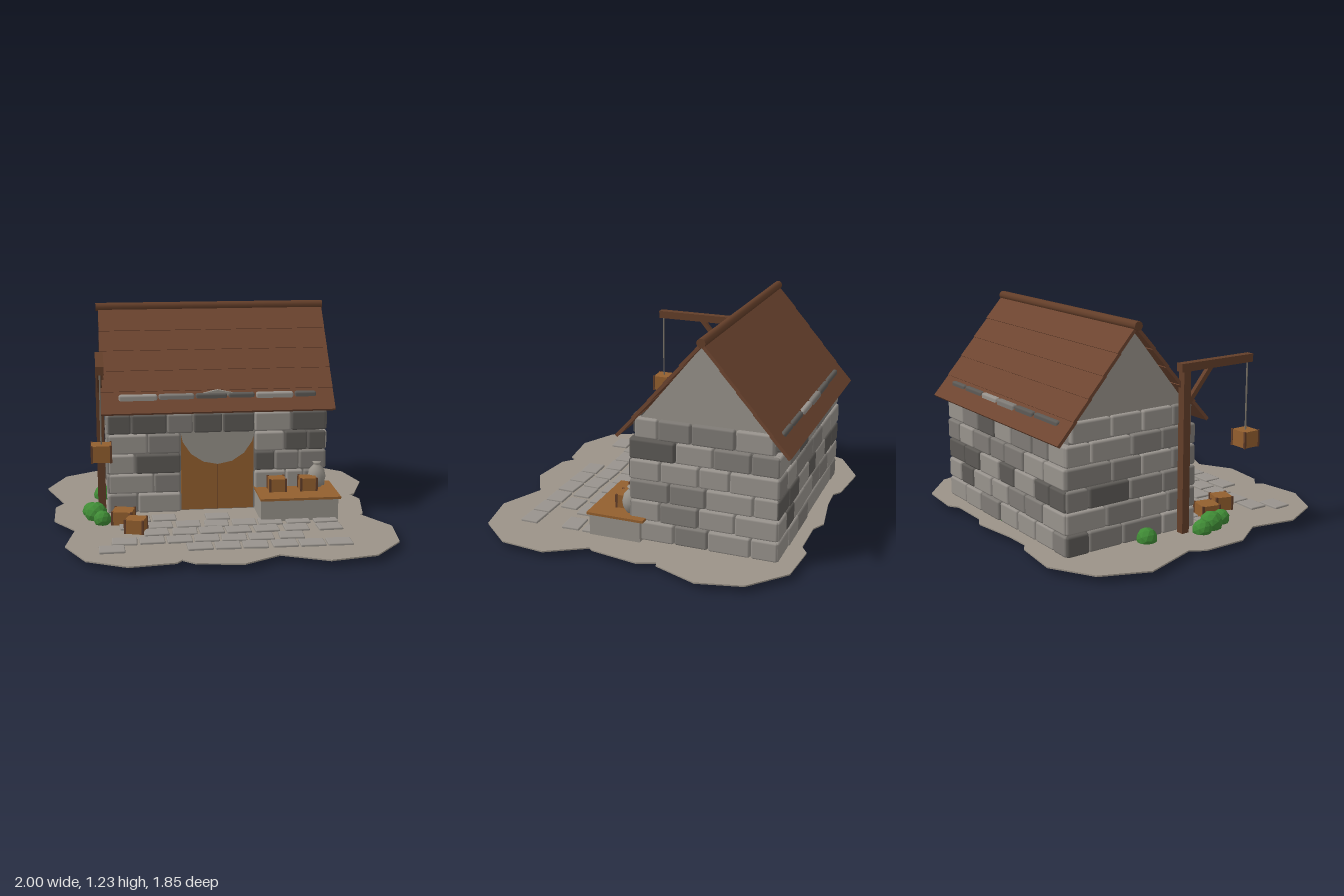
import * as THREE from 'three';
import { RoundedBoxGeometry } from 'three/addons/geometries/RoundedBoxGeometry.js';

const mat = (name, color, flatShading = false) => {
  const m = new THREE.MeshStandardMaterial({ color, flatShading });
  m.name = name;
  return m;
};

export function createModel() {
  const M = {
    ground: mat('ground', 0x9b9388),
    plaster: mat('plaster', 0x97928a),
    light: mat('lightStone', 0x98938d),
    mid: mat('midStone', 0x7f7b76),
    dark: mat('darkStone', 0x5d5a56),
    roof: mat('roofWood', 0x6e4530),
    beam: mat('darkWood', 0x633e29),
    wood: mat('lightWood', 0x935f2e),
    leaf: mat('leaf', 0x3f8a35, true),
    rope: mat('rope', 0x7a7368),
  };
  const root = new THREE.Group();
  root.name = 'stoneShop';
  const group = (name) => {
    const g = new THREE.Group();
    g.name = name;
    root.add(g);
    return g;
  };
  const add = (name, geo, m, x, y, z, parent = root) => {
    const mesh = new THREE.Mesh(geo, m);
    mesh.name = name;
    mesh.position.set(x, y, z);
    parent.add(mesh);
    return mesh;
  };
  const box = (name, m, w, h, d, x, y, z, parent) =>
    add(name, new THREE.BoxGeometry(w, h, d), m, x, y, z, parent);
  let seed = 17;
  const rnd = () => (seed = (seed * 16807) % 2147483647) / 2147483647;
  const stoneMat = () => {
    const r = rnd();
    return r < 0.42 ? M.light : r < 0.74 ? M.mid : M.dark;
  };

  // Irregular ground slab, outlined as x, z pairs
  const outline = [
    [-1, -.53], [-.89, -.79], [-.65, -.93], [-.37, -.9], [-.32, -.865], [-.17, -.87], [.1, -.91],
    [.18, -.87], [.42, -.87], [.48, -.91], [.74, -.89], [.94, -.71], [1, -.46], [.9, -.21],
    [.87, -.2], [.91, -.1], [.86, .18], [.84, .2], [.97, .42], [.94, .68], [.77, .87], [.51, .92],
    [.26, .81], [.06, .92], [-.19, .89], [-.26, .83], [-.29, .87], [-.54, .9], [-.76, .79],
    [-.87, .56], [-.82, .3], [-.94, .12], [-.94, -.13], [-.89, -.21],
  ];
  const groundShape = new THREE.Shape(outline.map(([x, z]) => new THREE.Vector2(x, -z)));
  const groundGeo = new THREE.ExtrudeGeometry(groundShape, { depth: 0.008, bevelEnabled: false });
  groundGeo.rotateX(-Math.PI / 2);
  add('ground', groundGeo, M.ground, 0, 0.035, 0);

  // Paving slabs in front of the door
  const paving = group('paving');
  const rows = [
    [.155, [-.61, -.46, -.31, 0]],
    [.28, [-.5, -.34, -.18, -.02, .14, .29, .45, .61]],
    [.4, [-.37, -.21, -.06, .09, .25, .42, .61]],
    [.53, [-.55, -.4, -.25, -.1, .05, .2, .37]],
    [.655, [-.62, -.15, 0, .15, .31, .46, .61]],
  ];
  for (const [z, xs] of rows) {
    for (const x of xs) {
      const geo = new RoundedBoxGeometry(0.138, 0.018, 0.105, 1, 0.006);
      add('slab', geo, M.light, x, 0.046, z + (rnd() - .5) * .01, paving).rotation.y = (rnd() - .5) * .12;
    }
  }

  // Wall core and gables
  box('wallCore', M.mid, 1.23, 0.69, 0.765, 0.015, 0.378, -0.38);
  const gable = new THREE.Shape([[-.765, .72], [.005, .72], [-.38, 1.195]].map((p) => new THREE.Vector2(...p)));
  const gableGeo = new THREE.ExtrudeGeometry(gable, { depth: 1.24, bevelEnabled: false });
  gableGeo.rotateY(-Math.PI / 2);
  add('gables', gableGeo, M.plaster, 0.635, 0, 0);

  // Courses of stones: place(centre, y, length, height) sets each one on its wall
  const rowH = 0.119;
  const course = (from, to, row, size, place) => {
    const n = Math.max(1, Math.round((to - from) / size));
    const cuts = [from];
    const shift = row % 2 ? 0.2 : -0.2;
    for (let i = 1; i < n; i++) cuts.push(from + (to - from) * (i + shift + (rnd() - .5) * .3) / n);
    cuts.push(to);
    for (let i = 0; i < n; i++) {
      place((cuts[i] + cuts[i + 1]) / 2, 0.043 + rowH * (row + .5),
        cuts[i + 1] - cuts[i] - 0.006, rowH - 0.006);
    }
  };
  const walls = group('stoneWalls');
  const depth = 0.052;
  const onZ = (z) => (x, y, w, h) => add('wallStone',
    new RoundedBoxGeometry(w, h, depth, 1, 0.012), stoneMat(), x, y, z + (rnd() - .5) * .008, walls);
  const onX = (x) => (z, y, w, h) => add('wallStone',
    new RoundedBoxGeometry(depth, h, w, 1, 0.012), stoneMat(), x + (rnd() - .5) * .008, y, z, walls);
  for (let r = 0; r < 6; r++) {
    const top = r === 5;
    const [x0, x1] = top ? [-.56, .6] : [-.625, .66];
    const [z0, z1] = top ? [-.765, .01] : [-.8, .04];
    if (r < 4) {
      course(x0, -.2, r, .17, onZ(.018));
      course(.235, x1, r, .17, onZ(.018));
    } else course(x0, x1, r, .19, onZ(.018));
    course(x0, x1, r, .18, onZ(-.778));
    course(z0, z1, r, .21, onX(-.606));
    course(z0, z1, r, .21, onX(.636));
  }

  // Double door with a round stone over it
  const door = group('door');
  for (const s of [-1, 1]) box('doorLeaf', M.wood, 0.212, 0.5, 0.03, 0.017 + s * 0.108, 0.3, 0, door);
  box('doorGap', M.beam, 0.006, 0.5, 0.024, 0.017, 0.3, 0, door);
  const disc = new THREE.CylinderGeometry(0.222, 0.222, 0.05, 16);
  disc.rotateX(Math.PI / 2);
  add('doorArch', disc, M.plaster, 0.017, 0.55, 0.005, door);

  // Roof boards on both slopes and the ridge pole
  const roof = group('roof');
  const pitch = Math.atan2(0.55, 0.47), slope = 0.725;
  const seams = [0, .23, .42, .61, .8, 1];
  for (const s of [-1, 1]) {
    for (let i = 0; i < 5; i++) {
      const d = slope * (seams[i] + seams[i + 1]) / 2;
      const len = slope * (seams[i + 1] - seams[i]) + 0.012;
      const board = box('roofBoard', M.roof, 1.36, 0.018, len, 0.02,
        1.208 - d * Math.sin(pitch), -0.382 + s * d * Math.cos(pitch), roof);
      board.rotation.x = s * (pitch - 0.03);
    }
  }
  const ridge = new THREE.CylinderGeometry(0.025, 0.025, 1.38, 10);
  ridge.rotateZ(Math.PI / 2);
  add('ridgePole', ridge, M.beam, 0.015, 1.212, -0.382, roof);

  // Crate with a dark underside frame
  const crate = (x, y, z, w, h, turn, parent) => {
    const g = new THREE.Group();
    g.name = 'crate';
    g.position.set(x, y, z);
    g.rotation.y = turn;
    parent.add(g);
    box('crateBody', M.wood, w, h, w * 0.94, 0, h / 2, 0, g);
    for (const a of [-1, 1]) {
      for (const b of [-1, 1]) {
        box('crateCorner', M.beam, 0.012, h + 0.004, 0.012, a * w * .48, h / 2, b * w * .45, g);
      }
    }
  };

  // Hoist: post, arm, brace, rope and load
  const hoist = group('hoist');
  const hx = -0.663;
  box('post', M.beam, 0.046, 0.92, 0.046, hx, 0.49, -0.07, hoist);
  box('arm', M.beam, 0.046, 0.045, 0.495, hx, 0.963, 0.142, hoist);
  const brace = box('brace', M.beam, 0.026, 0.24, 0.026, hx, 0.86, 0.03, hoist);
  brace.rotation.x = 0.7;
  add('rope', new THREE.CylinderGeometry(0.005, 0.005, 0.4, 6), M.rope, hx, 0.75, 0.368, hoist);
  crate(hx, 0.462, 0.368, 0.108, 0.092, 0, hoist);

  // Crates on the ground
  const crates = group('groundCrates');
  crate(-0.545, 0.04, 0.2, 0.115, 0.082, -0.22, crates);
  crate(-0.48, 0.04, 0.36, 0.105, 0.082, -0.3, crates);

  // Counter with its goods
  const counter = group('counter');
  box('counterBase', M.plaster, 0.45, 0.135, 0.3, 0.465, 0.1, 0.12, counter);
  box('counterTop', M.wood, 0.468, 0.014, 0.335, 0.47, 0.174, 0.114, counter);
  for (const x of [0.357, 0.54]) crate(x, 0.181, 0.108, 0.096, 0.076, 0, counter);
  const vase = [[0, 0], [.03, 0], [.048, .03], [.054, .065], [.044, .105], [.02, .13], [.018, .138], [.026, .15], [0, .15]];
  add('vase', new THREE.LatheGeometry(vase.map((p) => new THREE.Vector2(...p)), 14), M.plaster, 0.605, 0.181, 0.05, counter);

  // Bushes: x, z, radius, height of centre
  const bushes = group('bushes');
  const spots = [
    [-.725, .015, .055, .06], [-.7, .1, .065, .075], [-.665, .2, .05, .07], [-.655, -.31, .058, .06],
    [-.01, -.74, .055, .06], [.06, -.745, .052, .055], [.57, -.48, .085, .09],
  ];
  spots.forEach(([x, z, r, y], i) => {
    const b = add('bush', new THREE.IcosahedronGeometry(r, i < 4 ? 1 : 0), M.leaf, x, y, z, bushes);
    b.rotation.y = i;
  });
  return root;
}
